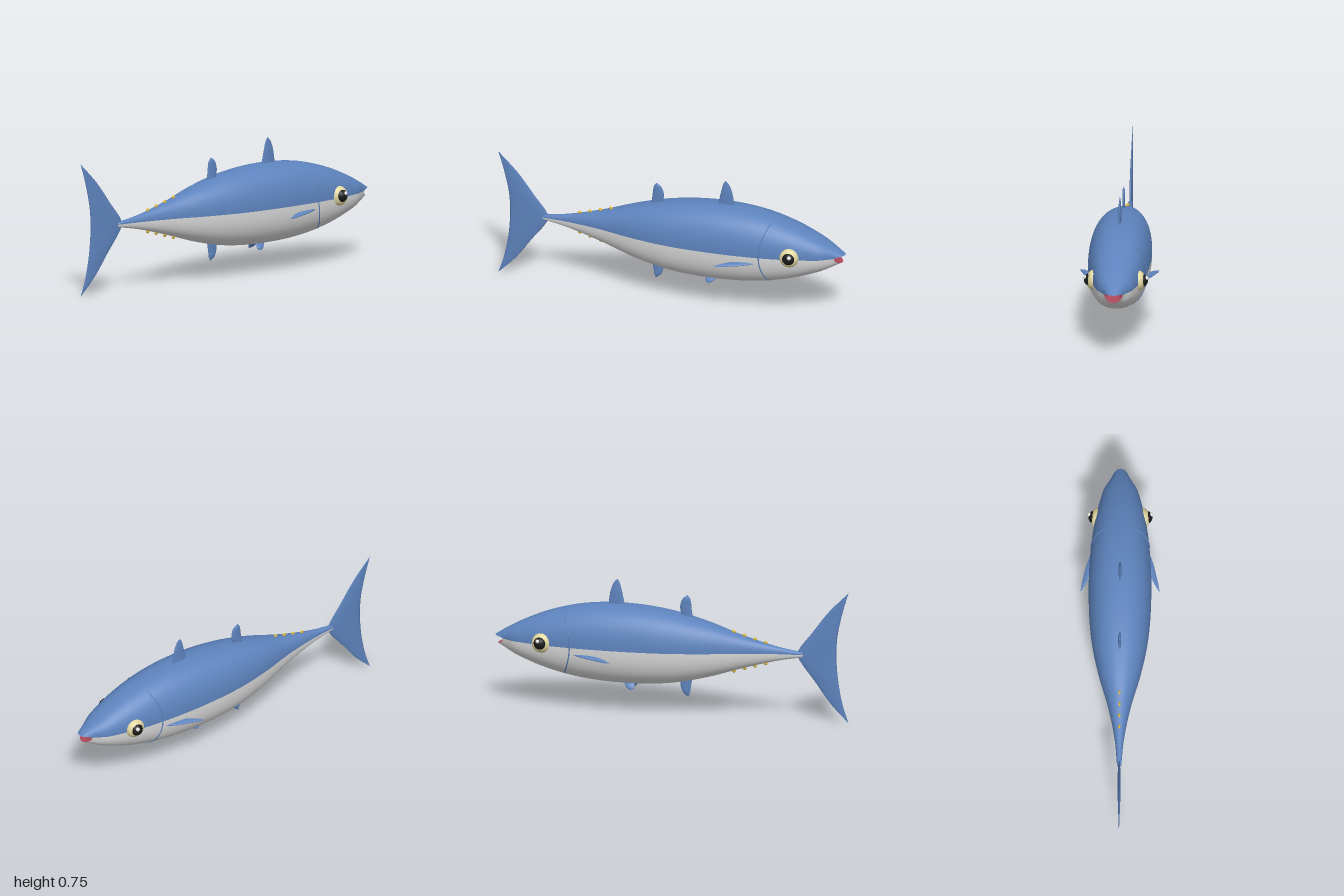
import * as THREE from 'three';

const mat = (name, color, side = THREE.FrontSide) => {
  const m = new THREE.MeshStandardMaterial({ color, side });
  m.name = name;
  return m;
};

const MID = 0.387; // height where back and belly colours meet
const POW = 2.3;   // body section roundness

// Smooth interpolation of rows [key, ...values]
function spline(rows) {
  const k = rows[0].length - 1;
  const s = new THREE.CubicInterpolant(rows.map(r => r[0]), rows.flatMap(r => r.slice(1)), k);
  return t => Array.from(s.evaluate(t));
}

// Body profile: x, top, bottom, half width
const profile = spline([
  [-0.74, 0.4, 0.372, 0.012], [-0.6, 0.423, 0.345, 0.024], [-0.4, 0.475, 0.29, 0.062],
  [-0.2, 0.54, 0.228, 0.118], [0, 0.588, 0.186, 0.157], [0.25, 0.614, 0.172, 0.173],
  [0.5, 0.6, 0.188, 0.165], [0.7, 0.549, 0.23, 0.139], [0.85, 0.485, 0.283, 0.102],
  [0.95, 0.43, 0.327, 0.071], [1, 0.398, 0.352, 0.05],
]);

// Skin a list of closed rings; group 0 is the first half of each ring, group 1 the rest
function loft(rings) {
  const n = rings[0].length, index = [], g = new THREE.BufferGeometry();
  for (const half of [0, 1]) {
    const start = index.length;
    for (let i = 0; i < rings.length - 1; i++)
      for (let j = half * n / 2; j < (half + 1) * n / 2; j++) {
        const a = i * n + j, b = i * n + (j + 1) % n;
        index.push(a, a + n, b + n, a, b + n, b);
      }
    g.addGroup(start, index.length - start, half);
  }
  g.setFromPoints(rings.flat());
  g.setIndex(index);
  g.computeVertexNormals();
  return g;
}

// Body section; near the snout the sides draw back to form the mouth corners
function bodyRing(x, n = 64) {
  const [top, bottom, w] = profile(x);
  const lip = THREE.MathUtils.smoothstep(x, 0.85, 1);
  const ring = [];
  for (let j = 0; j < n; j++) {
    const c = Math.cos(j / n * Math.PI * 2), s = Math.sin(j / n * Math.PI * 2);
    const soft = v => Math.sign(v) * Math.pow(Math.abs(v), 2 / POW);
    const h = j <= n / 2 ? top - MID : MID - bottom;
    ring.push(new THREE.Vector3(
      x - lip * (0.05 * c * c + 0.015 * Math.max(0, -s)), MID + h * soft(s), w * soft(c)));
  }
  return ring;
}

// Lens-section fin in the xy plane from rows [y, x0, x1]
function finGeometry(rows, thick) {
  const at = spline(rows), y0 = rows[0][0], y1 = rows[rows.length - 1][0];
  const widest = Math.max(...rows.map(r => r[2] - r[1])), rings = [];
  for (let i = 0; i <= 32; i++) {
    const y = y0 + (y1 - y0) * i / 32, [a, b] = at(y), half = Math.max(0, (b - a) / 2);
    const t = thick * Math.min(1, half * 3 / widest);
    rings.push(Array.from({ length: 16 }, (_, j) => {
      const q = j / 16 * Math.PI * 2;
      return new THREE.Vector3((a + b) / 2 + half * Math.cos(q), y, t * Math.sin(q));
    }));
  }
  const g = loft(rings);
  g.clearGroups();
  return g;
}

export function createModel() {
  const blue = mat('back blue', 0x5d83bd), belly = mat('belly grey', 0xd6d6d6);
  const red = mat('mouth red', 0xa84858, THREE.DoubleSide), cream = mat('eye cream', 0xe2d7a0);
  const black = mat('pupil black', 0x1a1a1a), white = mat('highlight white', 0xf5f5f5);
  const yellow = mat('finlet yellow', 0xd8b637);

  const fish = new THREE.Group();
  fish.name = 'fish';
  const add = (name, geo, material, parent = fish) => {
    const m = new THREE.Mesh(geo, material);
    m.name = name;
    parent.add(m);
    return m;
  };

  // Body, closed at the tail and open at the mouth
  const rings = [];
  for (let i = 0; i <= 80; i++) rings.push(bodyRing(-0.74 + 1.74 * i / 80));
  rings.unshift(rings[0].map(() => new THREE.Vector3(-0.745, MID, 0)));
  add('body', loft(rings), [blue, belly]);

  // Mouth cavity
  const lips = rings[rings.length - 1], throat = new THREE.Vector3(0.9, 0.375, 0);
  const mouth = loft([0, 0.3, 0.6, 1].map(t => lips.map(p => {
    const q = p.clone().lerp(throat, t);
    q.x = THREE.MathUtils.lerp(p.x, 0.9, Math.sqrt(t));
    return q;
  })));
  mouth.clearGroups();
  add('mouth', mouth, red);

  // Fins on the centre line
  add('tailFin', finGeometry([
    [0.01, -1, -1], [0.107, -0.968, -0.905], [0.24, -0.942, -0.807], [0.35, -0.932, -0.725],
    [0.385, -0.931, -0.71], [0.417, -0.931, -0.72], [0.51, -0.938, -0.79],
    [0.64, -0.966, -0.888], [0.755, -1, -1],
  ], 0.008), blue);
  add('frontDorsalFin', finGeometry([
    [0.59, 0.262, 0.36], [0.65, 0.276, 0.355], [0.7, 0.287, 0.344],
    [0.74, 0.299, 0.326], [0.756, 0.31, 0.31],
  ], 0.008), blue);
  add('rearDorsalFin', finGeometry([
    [0.55, -0.12, -0.06], [0.61, -0.111, -0.046], [0.64, -0.108, -0.049],
    [0.67, -0.101, -0.064], [0.688, -0.088, -0.088],
  ], 0.008), blue);
  add('analFin', finGeometry([
    [0.105, -0.092, -0.092], [0.125, -0.1, -0.066], [0.16, -0.106, -0.05],
    [0.19, -0.111, -0.047], [0.25, -0.12, -0.06],
  ], 0.008), blue);

  // Yellow finlets above and below the tail stalk
  for (let i = 0; i < 4; i++) {
    const x = -0.53 + 0.06 * i, [top, bottom] = profile(x);
    for (const [name, y] of [['upperFinlet', top + 0.003], ['lowerFinlet', bottom - 0.003]]) {
      const f = add(name, new THREE.SphereGeometry(0.011, 16, 12), yellow);
      f.position.set(x, y, 0);
      f.scale.z = 0.6;
    }
  }

  // Paired parts, built on +z and mirrored
  for (const [label, sign] of [['right', 1], ['left', -1]]) {
    const side = new THREE.Group();
    side.name = label + 'Side';
    side.scale.z = sign;
    fish.add(side);

    // Eye
    const ball = (name, m, r, depth, x, y, z) => {
      const b = add(name, new THREE.SphereGeometry(r, 32, 20), m, side);
      b.scale.z = depth / r;
      b.position.set(x, y, z);
    };
    ball('eye', cream, 0.056, 0.04, 0.71, 0.397, 0.124);
    ball('pupil', black, 0.037, 0.036, 0.714, 0.4, 0.141);
    ball('eyeHighlight', white, 0.011, 0.011, 0.724, 0.416, 0.17);

    // Gill line following the body surface
    const gill = [];
    for (let i = 0; i <= 16; i++) {
      const u = i / 8 - 1, x = 0.545 + 0.045 * u * u, y = 0.394 + 0.17 * u;
      const [top, bottom, w] = profile(x);
      const f = Math.abs(y - MID) / (y > MID ? top - MID : MID - bottom);
      gill.push(new THREE.Vector3(x, y, w * Math.pow(1 - Math.pow(f, POW), 1 / POW)));
    }
    add('gill', new THREE.TubeGeometry(new THREE.CatmullRomCurve3(gill), 48, 0.0035, 8), blue, side);

    // Pectoral fin, swept back and slightly down
    const out = new THREE.Vector3(0, -0.35, 1).normalize(), back = new THREE.Vector3(-1, 0, 0);
    const pectoral = finGeometry([
      [0, 0, 0.012], [0.06, 0, 0.036], [0.12, 0.016, 0.052],
      [0.18, 0.045, 0.067], [0.22, 0.073, 0.073],
    ], 0.006);
    pectoral.applyMatrix4(new THREE.Matrix4().makeBasis(out, back, out.clone().cross(back)));
    add('pectoralFin', pectoral, blue, side).position.set(0.52, 0.352, 0.15);

    // Pelvic fin, hanging down and outward
    const pelvic = add('pelvicFin', finGeometry([
      [-0.062, 0.222, 0.222], [-0.054, 0.21, 0.24], [-0.035, 0.205, 0.258], [0, 0.205, 0.27],
    ], 0.006), blue, side);
    pelvic.position.set(0, 0.188, 0.014);
    pelvic.rotation.x = -0.58;
  }
  return fish;
}
